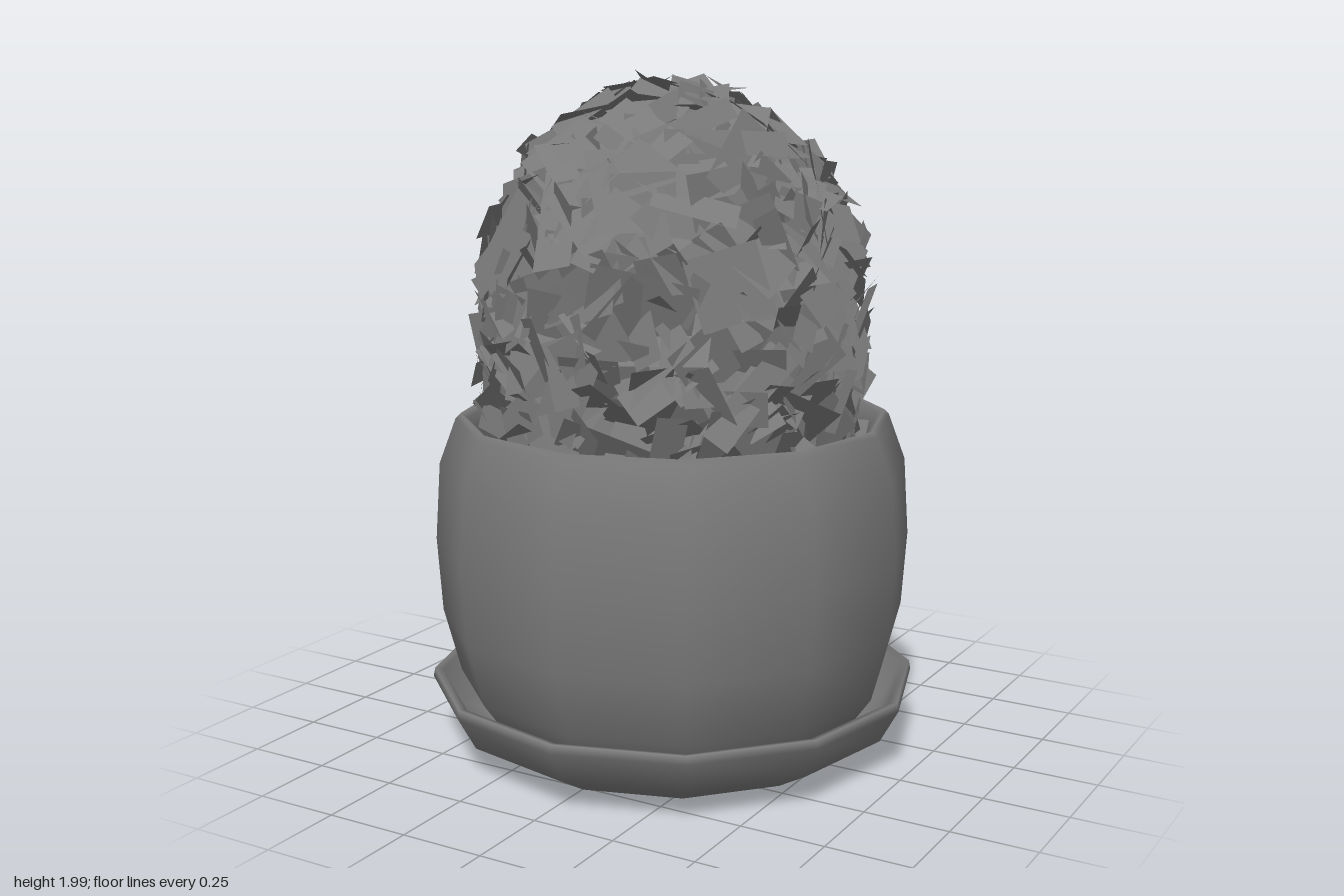
import * as THREE from 'three';
import { mergeGeometries } from 'three/addons/utils/BufferGeometryUtils.js';

const SIDES = 12;
const TURN = 0.05; // the pot and saucer are turned slightly about y

function createRandom(seed) {
  return () => {
    seed = (seed * 1664525 + 1013904223) % 4294967296;
    return seed / 4294967296;
  };
}

function turned(name, profile, material) {
  const points = profile.map(([r, y]) => new THREE.Vector2(r, y));
  const mesh = new THREE.Mesh(new THREE.LatheGeometry(points, SIDES, TURN), material);
  mesh.name = name;
  return mesh;
}

// Thin rectangular leaves on a round dome whose sides run almost straight down
function leafGeometry(count, center) {
  const random = createRandom(29);
  const range = (a, b) => a + (b - a) * random();
  const forward = new THREE.Vector3(0, 0, 1);
  const corner = new THREE.Vector3();
  const dome = new THREE.Vector3(0.57, 0.65, 0.57);
  const skirt = new THREE.Vector3(0.57, 1.25, 0.57);
  const leaves = [];
  for (let i = 0; i < count; i++) {
    // Evenly spread positions from the top to below the rim of the pot
    const y = 0.65 - 1.17 * (i + 0.5) / count;
    const radii = y > 0 ? dome : skirt;
    const h = y / radii.y;
    const a = i * 2.39996 + range(-0.1, 0.1);
    const ring = Math.sqrt(1 - h * h);
    const base = new THREE.Vector3(ring * Math.cos(a), h, ring * Math.sin(a)).multiply(radii);
    const normal = base.clone().divide(radii).divide(radii).normalize();

    const leaf = new THREE.PlaneGeometry(range(0.05, 0.2), range(0.14, 0.33));
    const turn = new THREE.Euler(range(-0.8, 0.8), range(-0.6, 0.6), range(0, Math.PI * 2));
    leaf.applyQuaternion(new THREE.Quaternion().setFromUnitVectors(forward, normal)
      .multiply(new THREE.Quaternion().setFromEuler(turn)));
    const depth = range(0.9, 1);
    leaf.translate(base.x * depth, base.y, base.z * depth);

    // Pull the leaf inward when a corner sticks out too far
    const position = leaf.attributes.position;
    let reach = 0;
    for (let k = 0; k < position.count; k++) {
      corner.fromBufferAttribute(position, k);
      reach = Math.max(reach, corner.divide(corner.y > 0 ? dome : skirt).length());
    }
    const excess = Math.max(0, reach - range(0.98, 1.07));
    const shift = normal.multiplyScalar(-0.6 * excess).add(center);
    leaf.translate(shift.x, shift.y, shift.z);
    leaves.push(leaf);
  }
  return mergeGeometries(leaves);
}

export function createModel() {
  const model = new THREE.Group();
  model.name = 'pottedShrub';
  const material = new THREE.MeshStandardMaterial({ color: 0x7a7a7a, side: THREE.DoubleSide });

  // Saucer: shallow dish with a narrow rim
  model.add(turned('saucer', [
    [0, 0], [0.4, 0.005], [0.55, 0.02], [0.67, 0.09], [0.725, 0.19], [0.72, 0.215],
    [0.695, 0.21], [0.645, 0.11], [0.55, 0.07], [0, 0.06],
  ], material));

  // Pot: bulging wall with a thin rounded lip and an inner wall
  model.add(turned('pot', [
    [0, 0.07], [0.54, 0.07], [0.64, 0.21], [0.69, 0.4], [0.705, 0.62], [0.69, 0.85],
    [0.64, 0.985], [0.625, 1.0], [0.605, 0.985], [0.585, 0.93], [0.58, 0.78],
  ], material));

  // Soil
  const soil = new THREE.Mesh(new THREE.CircleGeometry(0.585, SIDES), material);
  soil.name = 'soil';
  soil.rotation.set(-Math.PI / 2, 0, TURN);
  soil.position.y = 0.79;
  model.add(soil);

  // Foliage: inner core covered in leaves
  const center = new THREE.Vector3(0, 1.3, 0);
  const foliage = new THREE.Group();
  foliage.name = 'foliage';
  const core = new THREE.Mesh(new THREE.SphereGeometry(1, 20, 14), material);
  core.name = 'foliageCore';
  core.position.copy(center);
  core.scale.set(0.45, 0.53, 0.45);
  const leaves = new THREE.Mesh(leafGeometry(700, center), material);
  leaves.name = 'leaves';
  foliage.add(core, leaves);
  model.add(foliage);

  return model;
}
